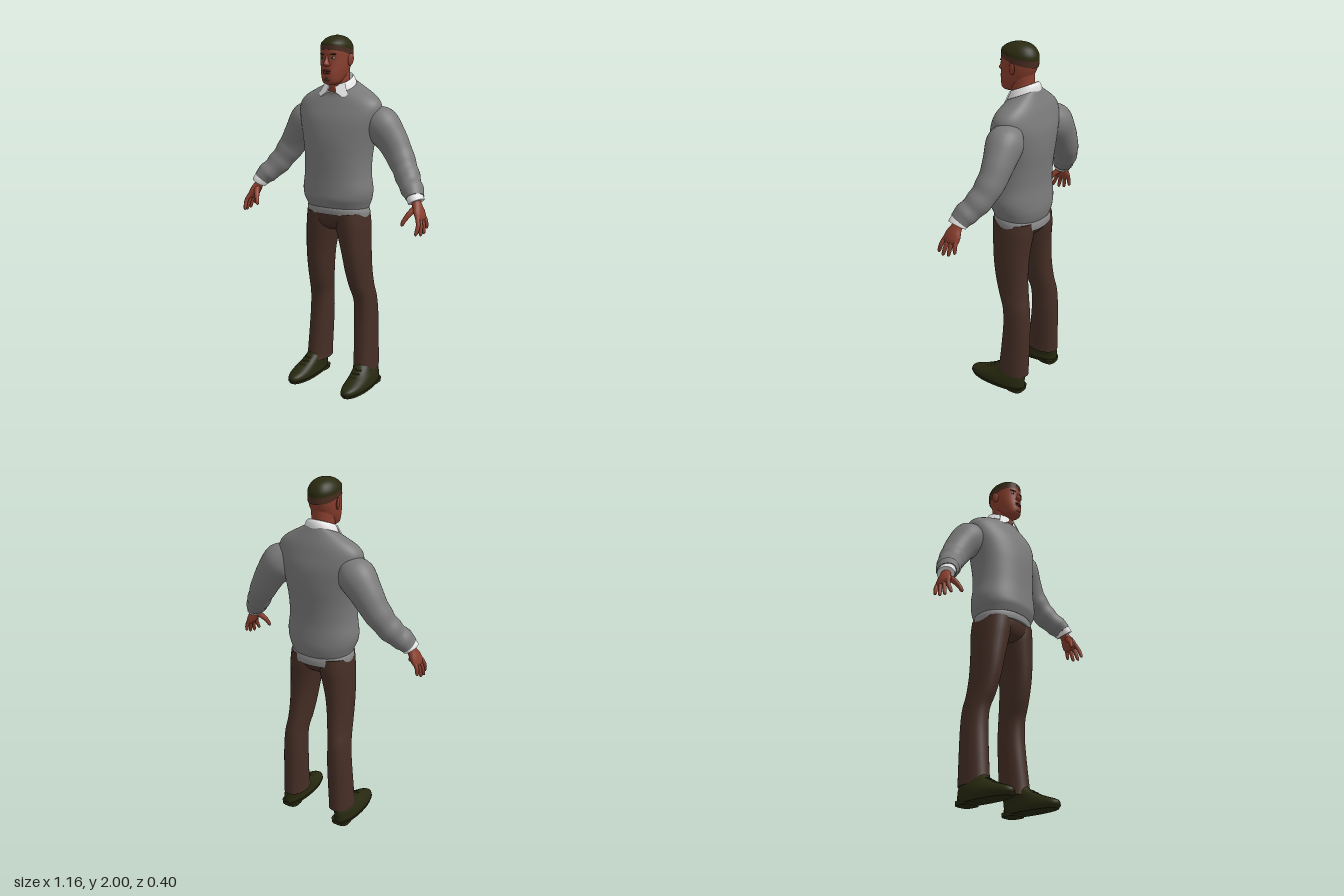
import * as THREE from 'three';

const mat = (name, color) => Object.assign(new THREE.MeshStandardMaterial({ color }), { name });
const M = {
  skin: mat('skin', 0x8a3f2e),
  hair: mat('hair', 0x2a2a10),
  fade: mat('hairFade', 0x4a2c20),
  lips: mat('lips', 0x6b2c24),
  eye: mat('eyeWhite', 0xc8c0b8),
  sweater: mat('sweaterGrey', 0x7a7a7a),
  hem: mat('hemGrey', 0x8c8c8c),
  shirt: mat('shirtWhite', 0xe8e8e8),
  trousers: mat('trouserBrown', 0x452e25),
  shoe: mat('shoe', 0x27280f),
};

// Catmull-Rom resampling of rows of numbers
function smooth(rows, k) {
  const out = [], n = rows.length;
  for (let i = 0; i < n - 1; i++) {
    const a = rows[Math.max(i - 1, 0)], b = rows[i], c = rows[i + 1], d = rows[Math.min(i + 2, n - 1)];
    for (let s = 0; s < k; s++) {
      const t = s / k;
      out.push(b.map((v, j) => {
        const cubic = 3 * (v - c[j]) + d[j] - a[j];
        const square = 2 * a[j] - 5 * v + 4 * c[j] - d[j];
        return v + 0.5 * t * (c[j] - a[j] + t * (square + t * cubic));
      }));
    }
  }
  out.push(rows[n - 1]);
  return out;
}

// Skin closed rings of points; gap leaves an opening at the front
function skinRings(rings, caps = true, gap = 0) {
  const pos = [], idx = [], seg = rings[0].length;
  rings.forEach(r => r.forEach(p => pos.push(p.x, p.y, p.z)));
  for (let i = 0; i < rings.length - 1; i++) {
    for (let j = 0; j < seg; j++) {
      if (gap && Math.abs(j + 0.5 - seg / 4) < gap) continue;
      const a = i * seg + j, b = i * seg + (j + 1) % seg;
      idx.push(a, a + seg, b, b, a + seg, b + seg);
    }
  }
  if (caps) {
    [rings[0], rings[rings.length - 1]].forEach((ring, end) => {
      const base = pos.length / 3, c = new THREE.Vector3();
      ring.forEach(p => { pos.push(p.x, p.y, p.z); c.addScaledVector(p, 1 / seg); });
      pos.push(c.x, c.y, c.z);
      for (let j = 0; j < seg; j++) {
        const a = base + j, b = base + (j + 1) % seg;
        if (end) idx.push(a, base + seg, b); else idx.push(a, b, base + seg);
      }
    });
  }
  const g = new THREE.BufferGeometry();
  g.setAttribute('position', new THREE.Float32BufferAttribute(pos, 3));
  g.setIndex(idx);
  g.computeVertexNormals();
  return g;
}

// Horizontal rings: [y, centreX, halfWidth, zFront, zBack, tilt]
function stack(rows, { k = 4, seg = 40, p = 2, caps = true, gap = 0 } = {}) {
  const pw = v => Math.sign(v) * Math.abs(v) ** (2 / p);
  const full = rows.map(r => (r.length < 6 ? [...r, 0] : r));
  const rings = smooth(full, k).map(([y, cx, hx, zf, zb, tilt]) =>
    Array.from({ length: seg }, (_, j) => {
      const a = j / seg * Math.PI * 2, dz = pw(Math.sin(a)) * (zf - zb) / 2;
      return new THREE.Vector3(cx + hx * pw(Math.cos(a)), y + tilt * dz, (zf + zb) / 2 + dz);
    }));
  return skinRings(rings, caps, gap);
}

// Rings along a bent path: [x, y, z, thickness, depth]
function limb(rows, s, k = 4, seg = 24) {
  const pts = smooth(rows, k), at = i => new THREE.Vector3(pts[i][0] * s, pts[i][1], pts[i][2]);
  return skinRings(pts.map((r, i) => {
    const t = at(Math.min(i + 1, pts.length - 1)).sub(at(Math.max(i - 1, 0))).normalize();
    const v = new THREE.Vector3(0, 0, 1).addScaledVector(t, -t.z).normalize();
    const u = t.clone().cross(v);
    return Array.from({ length: seg }, (_, j) => {
      const a = j / seg * Math.PI * 2;
      return at(i).addScaledVector(u, Math.cos(a) * r[3]).addScaledVector(v, Math.sin(a) * r[4]);
    });
  }));
}

const ball = (x, y, z, a, b, c) => new THREE.SphereGeometry(1, 20, 14).scale(a, b, c).translate(x, y, z);

export function createModel() {
  const root = new THREE.Group();
  root.name = 'standingMan';
  const add = (name, geo, material) => {
    const m = new THREE.Mesh(geo, material);
    m.name = name;
    root.add(m);
    return m;
  };

  // Head and neck
  add('head', stack([[1.742, 0, 0.028, 0.07, 0], [1.757, 0, 0.048, 0.088, -0.02], [1.8, 0, 0.065, 0.092, -0.075],
    [1.84, 0, 0.074, 0.088, -0.1], [1.88, 0, 0.078, 0.086, -0.116], [1.92, 0, 0.078, 0.087, -0.12],
    [1.95, 0, 0.071, 0.075, -0.114], [1.98, 0, 0.045, 0.04, -0.08]], { p: 2.15 }), M.skin);
  add('neck', stack([[1.64, 0, 0.075, 0.02, -0.12], [1.72, 0, 0.063, 0.025, -0.112],
    [1.78, 0, 0.06, 0.03, -0.1], [1.85, 0, 0.06, 0.02, -0.1]]), M.skin);
  add('hairCap', stack([[1.928, 0, 0.08, 0.087, -0.124, 0.18], [1.95, 0, 0.077, 0.083, -0.122, 0.12],
    [1.975, 0, 0.062, 0.062, -0.102, 0.04], [1.992, 0, 0.038, 0.032, -0.068], [2, 0, 0.008, -0.01, -0.03]], { p: 2.1 }), M.hair);
  add('hairFadeBand', stack([[1.9, 0, 0.0788, 0.0865, -0.121, 0.24], [1.93, 0, 0.0796, 0.0868, -0.123, 0.18]], { p: 2.15 }), M.fade);

  // Face
  add('nose', stack([[1.838, 0, 0.012, 0.096, 0.06], [1.846, 0, 0.02, 0.109, 0.06], [1.855, 0, 0.016, 0.113, 0.06],
    [1.875, 0, 0.009, 0.099, 0.06], [1.895, 0, 0.008, 0.089, 0.06]], { seg: 20 }), M.skin);
  add('upperLip', ball(0, 1.815, 0.088, 0.025, 0.006, 0.011), M.lips);
  add('lowerLip', ball(0, 1.805, 0.088, 0.022, 0.007, 0.012), M.lips);
  add('goatee', ball(0, 1.769, 0.078, 0.026, 0.014, 0.016), M.fade);
  for (const s of [1, -1]) {
    add('eye', ball(0.032 * s, 1.882, 0.0745, 0.013, 0.006, 0.007), M.eye);
    add('iris', ball(0.032 * s, 1.882, 0.079, 0.005, 0.0055, 0.004), M.hair);
    const brow = add('eyebrow', ball(0, 0, 0, 0.02, 0.004, 0.006), M.hair);
    brow.position.set(0.034 * s, 1.901, 0.077);
    brow.rotation.set(0, 0.35 * s, 0.08 * s);
    const ear = add('ear', ball(0, 0, 0, 0.009, 0.033, 0.02), M.skin);
    ear.position.set(0.083 * s, 1.872, -0.022);
    ear.rotation.set(-0.15, -0.3 * s, -0.12 * s);
  }

  // Sweater body with shirt tail below it
  add('sweaterBody', stack([[1.06, 0, 0.178, 0.104, -0.172, 0.1], [1.085, 0, 0.187, 0.116, -0.18, 0.1],
    [1.12, 0, 0.2, 0.124, -0.186, 0.04], [1.17, 0, 0.206, 0.122, -0.183], [1.25, 0, 0.196, 0.118, -0.178],
    [1.35, 0, 0.198, 0.117, -0.184], [1.45, 0, 0.214, 0.113, -0.194], [1.55, 0, 0.24, 0.095, -0.194],
    [1.62, 0, 0.25, 0.066, -0.18], [1.665, 0, 0.226, 0.05, -0.166, -0.1], [1.7, 0, 0.17, 0.04, -0.148, -0.25],
    [1.73, 0, 0.1, 0.036, -0.132, -0.42]], { seg: 56, p: 2.15 }), M.sweater);
  add('shirtTail', stack([[1.015, 0, 0.181, 0.1, -0.174, 0.14], [1.05, 0, 0.183, 0.104, -0.175, 0.12],
    [1.09, 0, 0.17, 0.09, -0.16, 0.1]], { p: 2.15 }), M.hem);

  // Shirt collar: folded band, open at the throat, with two points
  add('collarBand', stack([[1.715, 0, 0.098, 0.04, -0.136, -0.42], [1.745, 0, 0.086, 0.037, -0.134, -0.42],
    [1.765, 0, 0.075, 0.033, -0.125, -0.42], [1.765, 0, 0.068, 0.027, -0.117, -0.42],
    [1.715, 0, 0.066, 0.027, -0.115, -0.42]], { k: 2, caps: false, gap: 3 }), M.shirt);
  for (const s of [1, -1]) {
    const flap = new THREE.Shape([[0.018, 0.045], [0.066, 0.075], [0.096, 0.012], [0.075, -0.008], [0.03, 0.012]]
      .map(([x, y]) => new THREE.Vector2(x * s, y)));
    const m = add('collarPoint', new THREE.ExtrudeGeometry(flap, { depth: 0.007, bevelEnabled: false }), M.shirt);
    m.position.set(0, 1.69, 0.055);
    m.rotation.set(-0.45, 0.4 * s, 0);
  }

  // Arms and hands
  for (const s of [1, -1]) {
    add('sleeve', limb([[0.165, 1.59, -0.075, 0.05, 0.06], [0.23, 1.535, -0.085, 0.1, 0.098],
      [0.3, 1.45, -0.093, 0.088, 0.085], [0.345, 1.38, -0.09, 0.078, 0.076], [0.375, 1.335, -0.08, 0.074, 0.075],
      [0.4, 1.297, -0.067, 0.066, 0.07], [0.425, 1.262, -0.05, 0.068, 0.07], [0.45, 1.23, -0.028, 0.059, 0.063],
      [0.475, 1.205, -0.008, 0.06, 0.065], [0.49, 1.188, 0.004, 0.052, 0.06], [0.503, 1.17, 0.014, 0.046, 0.056]], s, 4, 32), M.sweater);
    add('shirtCuff', limb([[0.49, 1.19, 0.004, 0.042, 0.05], [0.506, 1.165, 0.016, 0.043, 0.053],
      [0.515, 1.15, 0.02, 0.042, 0.052]], s), M.shirt);
    add('palm', limb([[0.5, 1.17, 0.012, 0.026, 0.03], [0.518, 1.138, 0.022, 0.024, 0.032],
      [0.535, 1.105, 0.03, 0.024, 0.046], [0.549, 1.075, 0.036, 0.019, 0.049], [0.555, 1.058, 0.038, 0.01, 0.04]], s), M.skin);
    // index to little finger: root z, tip x, y, z
    [[0.073, 0.56, 0.992, 0.108], [0.049, 0.57, 0.985, 0.074], [0.025, 0.571, 0.99, 0.038], [0.002, 0.568, 1.01, 0]]
      .forEach(([z, tx, ty, tz]) => add('finger', limb([[0.546, 1.085, z, 0.011, 0.011],
        [0.562, (1.08 + ty) / 2 + 0.008, (z + tz) / 2, 0.0115, 0.0115],
        [tx - 0.001, ty + 0.01, tz, 0.009, 0.009], [tx, ty, tz, 0.003, 0.003]], s, 4, 12), M.skin));
    add('thumb', limb([[0.52, 1.125, 0.035, 0.016, 0.018], [0.5, 1.095, 0.07, 0.015, 0.017],
      [0.482, 1.062, 0.092, 0.012, 0.012], [0.474, 1.04, 0.1, 0.01, 0.01], [0.471, 1.03, 0.102, 0.003, 0.003]], s, 4, 14), M.skin);
  }

  // Trousers
  add('trouserSeat', stack([[0.935, 0, 0.07, 0.03, -0.11], [0.96, 0, 0.13, 0.068, -0.14],
    [1, 0, 0.178, 0.086, -0.162], [1.05, 0, 0.174, 0.09, -0.16], [1.1, 0, 0.16, 0.08, -0.15]], { p: 2.2 }), M.trousers);
  for (const s of [1, -1]) {
    add('trouserLeg', stack([[0.1, 0.16 * s, 0.066, 0.014, -0.178], [0.14, 0.16 * s, 0.065, 0.006, -0.178],
      [0.3, 0.154 * s, 0.065, -0.01, -0.18], [0.42, 0.15 * s, 0.064, -0.018, -0.18], [0.52, 0.146 * s, 0.061, -0.01, -0.174],
      [0.6, 0.135 * s, 0.062, 0.022, -0.16], [0.7, 0.126 * s, 0.067, 0.05, -0.148], [0.8, 0.118 * s, 0.074, 0.066, -0.146],
      [0.9, 0.105 * s, 0.084, 0.076, -0.152], [0.97, 0.096 * s, 0.09, 0.083, -0.16], [1.04, 0.09 * s, 0.088, 0.085, -0.158]],
      { p: 2.15, seg: 32 }), M.trousers);

    // Shoes with sole, heel and laces
    add('shoeUpper', stack([[0.012, 0.18 * s, 0.06, 0.19, -0.165], [0.035, 0.18 * s, 0.064, 0.199, -0.168],
      [0.055, 0.18 * s, 0.062, 0.185, -0.168], [0.078, 0.177 * s, 0.058, 0.125, -0.168],
      [0.1, 0.171 * s, 0.054, 0.07, -0.166], [0.13, 0.165 * s, 0.05, 0.02, -0.16], [0.15, 0.162 * s, 0.045, 0, -0.15]],
      { p: 2.2 }), M.shoe);
    add('shoeSole', stack([[0.008, 0.18 * s, 0.061, 0.19, -0.165], [0.026, 0.18 * s, 0.066, 0.202, -0.17]], { p: 2.2, k: 1 }), M.shoe);
    add('shoeHeel', stack([[0, 0.178 * s, 0.052, -0.06, -0.166], [0.022, 0.178 * s, 0.054, -0.055, -0.168]], { p: 3, k: 1 }), M.shoe);
    for (let i = 0; i < 3; i++) {
      add('lace', ball(0.173 * s, 0.092 + i * 0.014, 0.078 - i * 0.024, 0.024, 0.005, 0.008), M.shoe);
    }
  }
  return root;
}
